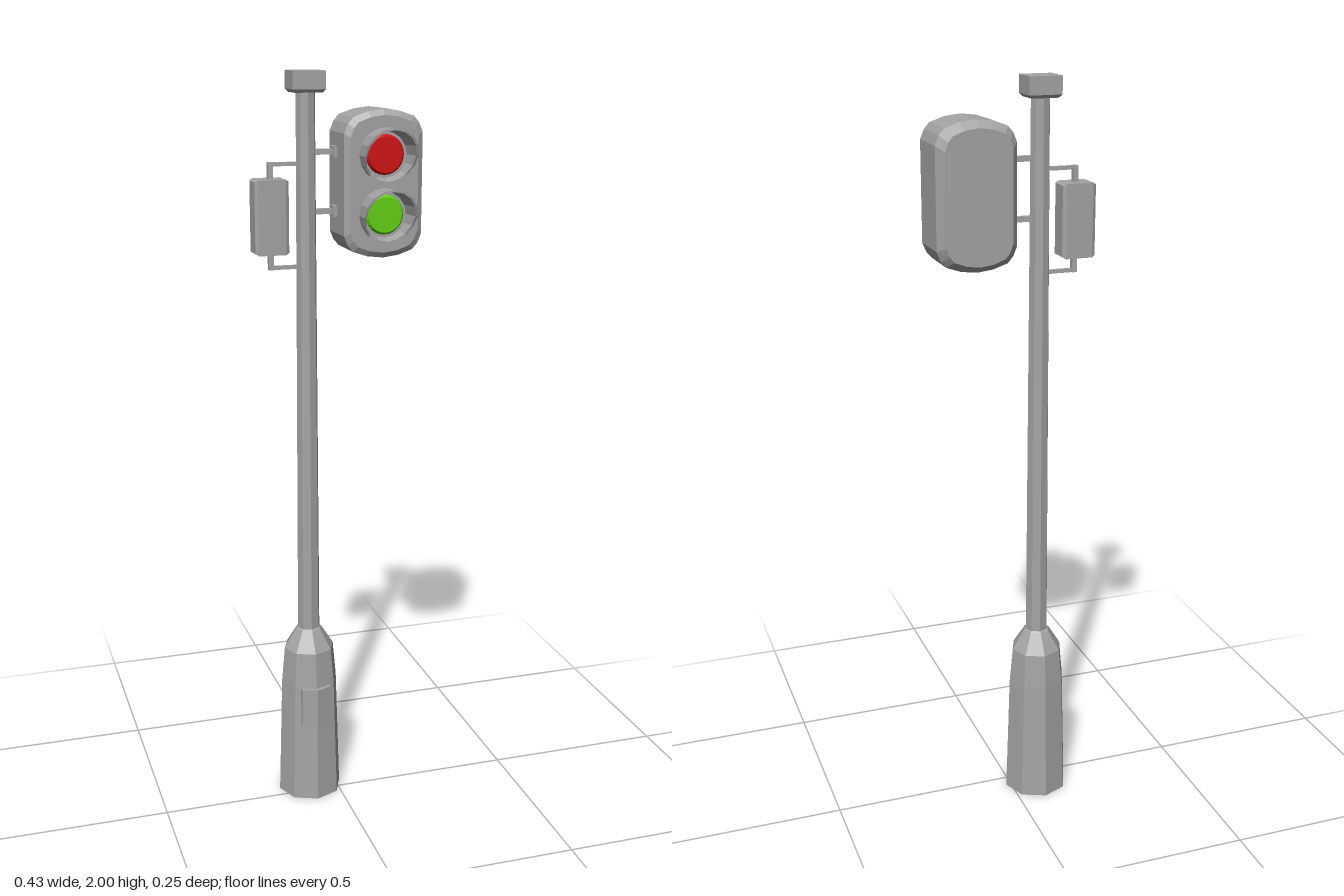
import * as THREE from 'three';

const grey = new THREE.MeshStandardMaterial({ name: 'painted metal grey', color: 0xa4a4a4, flatShading: true });
const red = new THREE.MeshStandardMaterial({ name: 'lamp red', color: 0xd01010, flatShading: true });
const green = new THREE.MeshStandardMaterial({ name: 'lamp green', color: 0x62d010, flatShading: true });

const POLE_X = -0.075, POLE_Z = -0.036;

// Skins rings of [x, y] points (counter-clockwise) stacked along +z and closes both ends.
function loft(rings) {
  const pos = [];
  const tri = (...pts) => pts.forEach(p => pos.push(...p));
  const at = rings.map(({ z, pts }) => pts.map(([x, y]) => [x, y, z]));
  const n = at[0].length, last = at.length - 1;
  const bottom = [0, 0, rings[0].z], top = [0, 0, rings[last].z];
  for (let j = 0; j < n; j++) {
    const k = (j + 1) % n;
    for (let i = 0; i < last; i++) {
      tri(at[i][j], at[i][k], at[i + 1][k]);
      tri(at[i][j], at[i + 1][k], at[i + 1][j]);
    }
    tri(bottom, at[0][k], at[0][j]);
    tri(top, at[last][j], at[last][k]);
  }
  const g = new THREE.BufferGeometry();
  g.setAttribute('position', new THREE.Float32BufferAttribute(pos, 3));
  g.computeVertexNormals();
  return g;
}

const rect = (w, h) => [[-w, -h], [w, -h], [w, h], [-w, h]];
const octagon = r => Array.from({ length: 8 }, (_, i) =>
  [r * Math.cos(i * Math.PI / 4), r * Math.sin(i * Math.PI / 4)]);

export function createModel() {
  const model = new THREE.Group();
  model.name = 'trafficLight';

  const add = (name, geometry, material, x = 0, y = 0, z = 0, parent = model) => {
    const mesh = new THREE.Mesh(geometry, material);
    mesh.name = name;
    mesh.position.set(x, y, z);
    parent.add(mesh);
    return mesh;
  };
  const box = (name, x0, x1, y0, y1, depth) => add(name,
    new THREE.BoxGeometry(x1 - x0, y1 - y0, depth), grey, (x0 + x1) / 2, (y0 + y1) / 2, POLE_Z);
  const octColumn = profile =>
    loft(profile.map(([r, z]) => ({ z, pts: octagon(r) }))).rotateX(-Math.PI / 2);

  // Flared base and tapering pole
  add('base', octColumn([[0.089, 0], [0.079, 0.34], [0.07, 0.44], [0.036, 0.495], [0.03, 0.5]]),
    grey, POLE_X, 0, POLE_Z);
  add('pole', octColumn([[0.031, 0.49], [0.025, 1.955]]), grey, POLE_X, 0, POLE_Z);

  // Cap with a chamfered underside
  add('poleCap', loft([
    { z: 1.947, pts: rect(0.036, 0.032) },
    { z: 1.955, pts: rect(0.043, 0.038) },
    { z: 2, pts: rect(0.043, 0.038) },
  ]).rotateX(-Math.PI / 2), grey, POLE_X, 0, POLE_Z - 0.001);

  // Access door folded round the front corner of the base
  const door = new THREE.Shape([[-0.041, -0.075], [0, -0.091], [0.041, -0.075], [0.041, -0.04], [-0.041, -0.04]]
    .map(p => new THREE.Vector2(...p)));
  add('accessDoor', new THREE.ExtrudeGeometry(door, { depth: 0.11, bevelEnabled: false }).rotateX(-Math.PI / 2),
    grey, POLE_X, 0.23, POLE_Z);

  // Signal housing: arched outline, deep chamfer behind, small chamfer in front
  const corner = [[0.104, 0.128], [0.094, 0.152], [0.08, 0.168], [0.042, 0.181]];
  const mirrored = corner.slice().reverse().map(([x, y]) => [-x, y]);
  const upper = [...corner, [0, 0.186], ...mirrored];
  const outline = [...upper, ...upper.map(([x, y]) => [-x, -y])];
  const inset = d => outline.map(([x, y]) => [x * (1 - d / 0.104), y * (1 - d / 0.186)]);
  const signal = new THREE.Group();
  signal.name = 'signalHead';
  signal.position.set(0.109, 1.721, 0);
  model.add(signal);
  add('housing', loft([
    { z: -0.116, pts: inset(0.018) },
    { z: -0.091, pts: inset(0) },
    { z: 0.035, pts: inset(0) },
    { z: 0.045, pts: inset(0.014) },
  ]), grey, 0, 0, 0, signal);

  // Hoods: flared tubes, long at the top and cut back below
  const hood = () => {
    const wall = [[0.067, 0], [0.071, 1], [0.065, 1], [0.058, 0]].map(p => new THREE.Vector2(...p));
    const g = new THREE.LatheGeometry(wall, 16).rotateX(Math.PI / 2);
    const p = g.attributes.position;
    for (let i = 0; i < p.count; i++) {
      const s = p.getY(i) / Math.hypot(p.getX(i), p.getY(i));
      p.setZ(i, p.getZ(i) * Math.max(0.03, 0.055 + 0.024 * s - 0.012 * Math.max(0, -s)));
    }
    g.computeVertexNormals();
    return g;
  };
  for (const [name, material, y] of [['red', red, 0.075], ['green', green, -0.075]]) {
    add(name + 'Hood', hood(), grey, 0, y, 0.044, signal);
    add(name + 'Lens', new THREE.CylinderGeometry(0.045, 0.051, 0.009, 24).rotateX(Math.PI / 2),
      material, 0, y, 0.049, signal);
  }

  // Arms and flanges carrying the signal
  for (const y of [1.8, 1.65]) {
    box('signalArm', -0.06, 0, y - 0.007, y + 0.007, 0.013);
    box('signalFlange', -0.006, 0.008, y - 0.014, y + 0.014, 0.032);
  }

  // Control box with chamfered ends, held by two bent brackets
  add('controlBox', loft([
    { z: -0.0445, pts: rect(0.026, 0.09) },
    { z: -0.036, pts: rect(0.0315, 0.095) },
    { z: 0.036, pts: rect(0.0315, 0.095) },
    { z: 0.0445, pts: rect(0.026, 0.09) },
  ]).rotateY(Math.PI / 2), grey, -0.1715, 1.641, POLE_Z - 0.001);
  for (const side of [1, -1]) {
    const y = 1.641 + side * 0.131, stub = 1.641 + side * 0.114;
    box('bracketArm', -0.176, -0.09, y - 0.005, y + 0.005, 0.008);
    box('bracketStub', -0.176, -0.163, stub - 0.022, stub + 0.022, 0.015);
  }

  return model;
}
